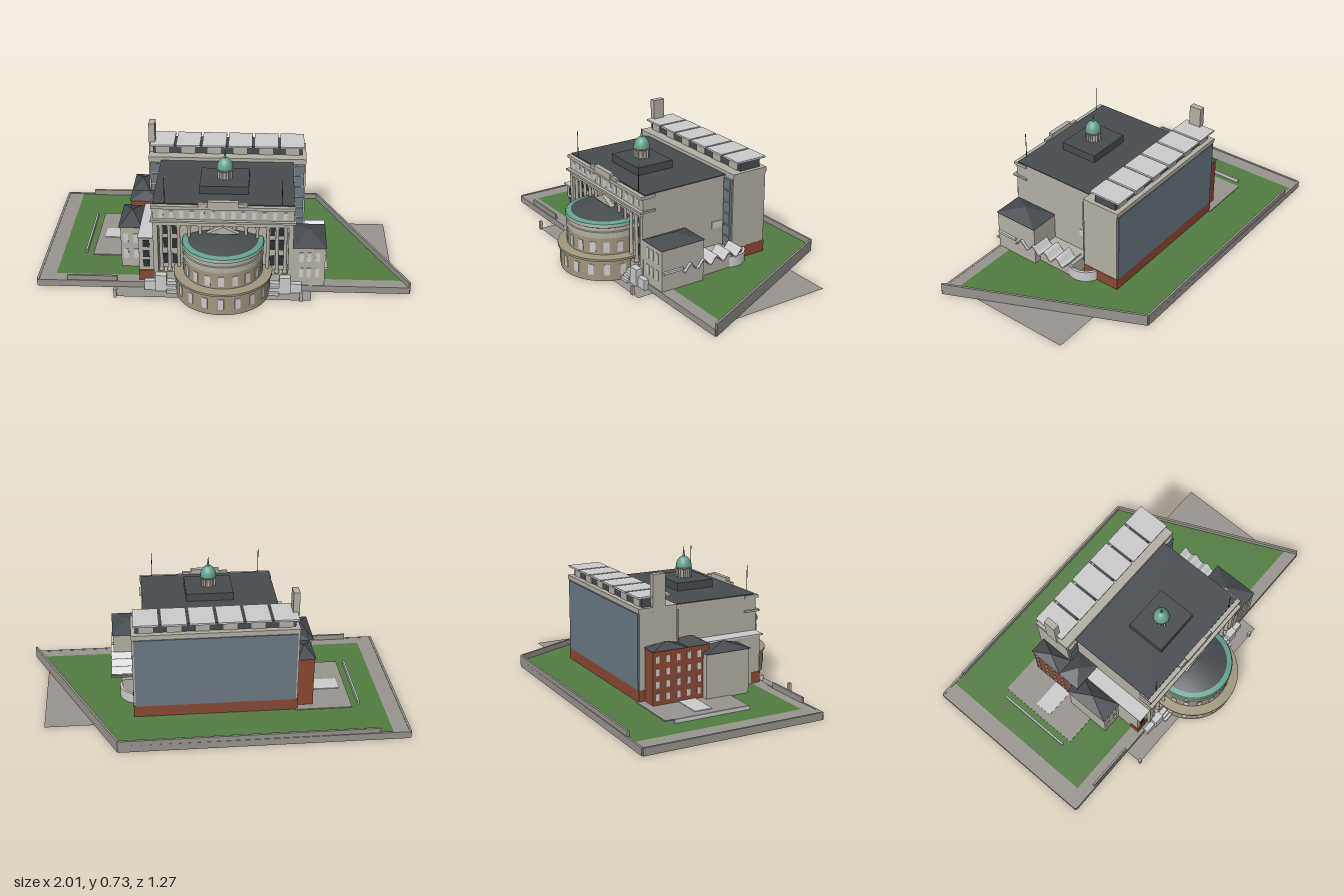
import * as THREE from 'three';

const C = {
  grey: 0xcccccc, stone: 0xb4b0a6, tan: 0xa0967f, roof: 0x484c50, teal: 0x66a08f,
  grass: 0x537d41, brick: 0x8a4a34, glass: 0x6c7883, dark: 0x2c2f33, paving: 0x98948f, pane: 0xc4c4c4,
};
const mats = {};
const mat = (c) => (mats[c] ??= new THREE.MeshStandardMaterial({ color: C[c], side: THREE.DoubleSide }));

export function createModel() {
  const root = new THREE.Group();

  const add = (name, geo, color, parent = root) => {
    const m = new THREE.Mesh(geo, mat(color));
    m.name = name;
    parent.add(m);
    return m;
  };
  const group = (name) => {
    const g = new THREE.Group();
    g.name = name;
    root.add(g);
    return g;
  };
  // Box given by its limits on each axis
  const box = (name, color, x0, x1, y0, y1, z0, z1, parent) => {
    const g = new THREE.BoxGeometry(x1 - x0, y1 - y0, z1 - z0);
    g.translate((x0 + x1) / 2, (y0 + y1) / 2, (z0 + z1) / 2);
    return add(name, g, color, parent);
  };
  // Flat sheet from [x, z] corners
  const sheet = (name, color, pts, y) => {
    const s = new THREE.Shape(pts.map(([x, z]) => new THREE.Vector2(x, -z)));
    return add(name, new THREE.ShapeGeometry(s).rotateX(-Math.PI / 2).translate(0, y, 0), color);
  };
  const rect = (x0, x1, z0, z1) => [[x0, z0], [x1, z0], [x1, z1], [x0, z1]];
  // Straight wall between two [x, z] points
  const wall = (name, color, a, b, y0, y1, t = 0.012) => {
    const dx = b[0] - a[0], dz = b[1] - a[1];
    const g = new THREE.BoxGeometry(Math.hypot(dx, dz), y1 - y0, t);
    g.rotateY(-Math.atan2(dz, dx)).translate((a[0] + b[0]) / 2, (y0 + y1) / 2, (a[1] + b[1]) / 2);
    return add(name, g, color);
  };
  const hipRoof = (name, x0, x1, y0, y1, z0, z1) => {
    const g = new THREE.ConeGeometry(Math.SQRT1_2, y1 - y0, 4).toNonIndexed().rotateY(Math.PI / 4);
    g.scale(x1 - x0, 1, z1 - z0).translate((x0 + x1) / 2, (y0 + y1) / 2, (z0 + z1) / 2);
    g.computeVertexNormals();
    add(name, g, 'roof');
  };
  const lathe = (name, color, pts, x, z, seg = 48, parent = root) =>
    add(name, new THREE.LatheGeometry(pts.map((p) => new THREE.Vector2(...p)), seg).toNonIndexed()
      .translate(x, 0, z), color, parent);

  // Site: lawn, paths, boundary walls and lower paving
  const G = 0.035;
  const BL = [-1, -0.635], BR = [0.53, -0.635], FR = [0.995, 0.37], FL = [-1, 0.37];
  sheet('lawn', 'grass', [BL, BR, FR, FL], G);
  sheet('sidePath', 'paving', rect(-1, -0.91, -0.635, 0.37), G + 0.002);
  sheet('frontPath', 'paving', [[-0.91, 0.305], [0.965, 0.305], FR, [-0.91, 0.37]], G + 0.002);
  sheet('lowerPaving', 'paving', rect(-0.74, 0.92, -0.38, 0.37), 0.002);
  wall('backWall', 'paving', BL, BR, 0, G + 0.005);
  wall('slantedWall', 'paving', BR, FR, 0, 0.067);
  wall('frontWall', 'paving', FL, FR, 0, G + 0.003);
  wall('leftWall', 'paving', FL, BL, 0, G + 0.005);
  wall('backParapet', 'paving', [-0.84, -0.63], BR, G, 0.067);
  wall('frontParapet', 'paving', [-0.84, 0.365], [-0.57, 0.365], G, 0.067);
  box('patio', 'paving', -0.74, -0.43, G, 0.04, -0.38, 0.1);
  box('patioInset', 'grey', -0.7, -0.53, G, 0.044, -0.19, -0.09);
  box('gardenRail', 'grey', -0.785, -0.775, G, 0.055, -0.35, 0.08);

  // Forecourt either side of the rotunda
  sheet('forecourt', 'paving', rect(-0.57, 0.47, 0.37, 0.47), 0.004);
  for (const s of [-1, 1]) {
    const span = (a, b) => (s < 0 ? [-b, -a] : [a, b]);
    box('terraceWall', 'grey', ...span(0.24, 0.42), 0, 0.06, 0.37, 0.4);
    box('stairPier', 'grey', ...span(0.3, 0.36), 0, 0.1, 0.37, 0.41);
    for (let i = 0; i < 3; i++)
      box('frontStep', 'grey', ...span(0.23, 0.3), 0, 0.02 * (i + 1), 0.37, 0.43 - i * 0.015);
    const px = s < 0 ? -0.57 : 0.415;
    box('gatePost', 'stone', px - 0.008, px + 0.008, 0, 0.05, 0.46, 0.476);
  }

  // Main hall
  const hall = group('mainHall');
  box('hallBody', 'stone', -0.37, 0.37, 0, 0.505, -0.15, 0.325, hall);
  box('rearShoulders', 'stone', -0.43, 0.43, 0, 0.5, -0.15, -0.14, hall);
  box('hallRoof', 'roof', -0.37, 0.37, 0.505, 0.511, -0.16, 0.36, hall);
  box('upperFront', 'stone', -0.37, 0.37, 0.385, 0.505, 0.32, 0.372, hall);
  box('lowerCornice', 'stone', -0.38, 0.38, 0.413, 0.424, 0.3, 0.392, hall);
  box('upperCornice', 'stone', -0.376, 0.376, 0.488, 0.505, 0.3, 0.384, hall);
  box('podium', 'stone', -0.37, 0.37, 0, 0.105, 0.32, 0.374, hall);
  box('parapetBlock', 'stone', -0.08, 0.08, 0.5, 0.537, 0.362, 0.388, hall);
  box('parapetWings', 'stone', -0.13, 0.13, 0.5, 0.522, 0.362, 0.38, hall);
  for (let i = 0; i < 13; i++) {
    const x = -0.324 + i * 0.054;
    box('atticWindow', 'pane', x - 0.011, x + 0.011, 0.434, 0.474, 0.37, 0.374, hall);
  }
  for (const s of [-1, 1]) {
    box('endPier', 'stone', s * 0.357 - 0.013, s * 0.357 + 0.013, 0.1, 0.39, 0.32, 0.374, hall);
    for (const x of [0.06, 0.12, 0.18, 0.235, 0.285, 0.328]) {
      const shaft = [[0, 0.105], [0.014, 0.105], [0.014, 0.117], [0.01, 0.12], [0.009, 0.365],
        [0.014, 0.375], [0.014, 0.386], [0, 0.386]];
      lathe('column', 'stone', shaft, s * x, 0.357, 12, hall);
    }
    for (const x of [0.26, 0.307])
      for (const y of [0.13, 0.225, 0.31])
        box('porticoWindow', 'dark', s * x - 0.013, s * x + 0.013, y, y + 0.06, 0.32, 0.328, hall);
    const pole = new THREE.CylinderGeometry(0.002, 0.002, 0.15, 6).translate(s * 0.305, 0.58, 0.355);
    add('flagpole', pole, 'dark', hall);
  }
  const gable = new THREE.Shape([[-0.085, 0.35], [0.085, 0.35], [0, 0.392]].map((p) => new THREE.Vector2(...p)));
  add('pediment', new THREE.ExtrudeGeometry(gable, { depth: 0.03, bevelEnabled: false }).translate(0, 0, 0.36), 'stone', hall);
  box('sideVent', 'grey', 0.37, 0.374, 0.215, 0.255, -0.13, -0.065, hall);

  // Cupola
  const cupola = group('cupola');
  box('cupolaBase', 'roof', -0.13, 0.13, 0.51, 0.555, 0.025, 0.245, cupola);
  lathe('cupolaDrum', 'stone', [[0.03, 0.555], [0.03, 0.605], [0.045, 0.605], [0.045, 0.612], [0, 0.612]], 0, 0.135, 24, cupola);
  for (let i = 0; i < 8; i++) {
    const a = (i + 0.5) * Math.PI / 4;
    add('cupolaColumn', new THREE.CylinderGeometry(0.006, 0.006, 0.05, 8)
      .translate(0.037 * Math.cos(a), 0.58, 0.135 + 0.037 * Math.sin(a)), 'stone', cupola);
  }
  const dome = new THREE.SphereGeometry(0.044, 24, 10, 0, Math.PI * 2, 0, Math.PI / 2).scale(1, 1.4, 1);
  add('cupolaDome', dome.translate(0, 0.611, 0.135), 'teal', cupola);
  add('finial', new THREE.ConeGeometry(0.008, 0.06, 8).translate(0, 0.697, 0.135), 'teal', cupola);

  // Front rotunda in two drums
  const rz = 0.37, rotunda = group('rotunda');
  const facet = (m) => (m.geometry.computeVertexNormals(), m);
  facet(lathe('lowerDrum', 'tan', [[0.25, 0], [0.25, 0.112], [0.262, 0.118], [0.262, 0.13], [0.2, 0.135]], 0, rz, 64, rotunda));
  facet(lathe('upperDrum', 'tan', [[0.21, 0.13], [0.21, 0.25]], 0, rz, 64, rotunda));
  facet(lathe('upperFrieze', 'stone', [[0.213, 0.23], [0.213, 0.262], [0.208, 0.265], [0.208, 0.285], [0.217, 0.29], [0.217, 0.3]], 0, rz, 64, rotunda));
  facet(lathe('copperRim', 'teal', [[0.217, 0.3], [0.213, 0.308], [0.185, 0.314]], 0, rz, 64, rotunda));
  lathe('rotundaRoof', 'roof', [[0.187, 0.313], [0.14, 0.328], [0.075, 0.342], [0, 0.348]], 0, rz, 64, rotunda);
  for (const [r, y, h, n] of [[0.25, 0.035, 0.06, 9], [0.21, 0.148, 0.058, 9]])
    for (let i = 0; i < n; i++) {
      const g = new THREE.BoxGeometry(0.03, h, 0.006).translate(0, y + h / 2, r);
      add('rotundaWindow', g.rotateY((i - (n - 1) / 2) * 0.345).translate(0, 0, rz), 'pane', rotunda);
    }

  // Tall rear block
  const rear = group('rearBlock');
  box('rearBody', 'stone', -0.44, 0.44, 0.1, 0.525, -0.365, -0.15, rear);
  box('brickBase', 'brick', -0.441, 0.441, 0, 0.1, -0.369, -0.15, rear);
  box('rearGlazing', 'glass', -0.43, 0.43, 0.1, 0.5, -0.371, -0.364, rear);
  box('rearParapet', 'stone', -0.442, 0.442, 0.505, 0.53, -0.37, -0.15, rear);
  box('roofPlant', 'roof', -0.42, 0.42, 0.53, 0.575, -0.34, -0.21, rear);
  for (let i = 0; i < 6; i++) {
    const x = -0.435 + i * 0.1462;
    box('roofCanopy', 'grey', x, x + 0.134, 0.578, 0.588, -0.37, -0.185, rear);
    box('canopySupport', 'stone', x + 0.03, x + 0.104, 0.53, 0.578, -0.345, -0.205, rear);
  }
  box('chimney', 'stone', -0.445, -0.41, 0.5, 0.7, -0.29, -0.22, rear);
  for (const s of [-1, 1])
    for (let i = 0; i < 6; i++) {
      const y = 0.11 + i * 0.066;
      box('shoulderGlazing', 'glass', s * 0.404 - 0.027, s * 0.404 + 0.027, y, y + 0.058, -0.15, -0.135, rear);
    }

  // Left brick wing and its links
  const wing = group('brickWing');
  box('wingBody', 'brick', -0.53, -0.43, 0, 0.325, -0.335, -0.01, wing);
  box('wingLink', 'brick', -0.45, -0.36, 0, 0.325, -0.14, -0.01, wing);
  hipRoof('wingRoof', -0.537, -0.435, 0.325, 0.36, -0.34, -0.135);
  hipRoof('linkRoof', -0.537, -0.365, 0.325, 0.36, -0.14, -0.005);
  for (let f = 0; f < 4; f++)
    for (let i = 0; i < 5; i++) {
      const z = -0.31 + i * 0.06, y = 0.065 + f * 0.066;
      box('wingWindow', 'pane', -0.533, -0.529, y, y + 0.036, z - 0.01, z + 0.01, wing);
    }
  box('leftAnnex', 'stone', -0.45, -0.37, 0, 0.3, -0.02, 0.35, wing);
  box('annexRoof', 'grey', -0.452, -0.37, 0.3, 0.308, -0.02, 0.37, wing);
  box('annexBrickBase', 'brick', -0.452, -0.37, 0.04, 0.1, 0.3, 0.355, wing);
  for (const y of [0.12, 0.18, 0.24])
    box('annexWindow', 'dark', -0.428, -0.392, y, y + 0.042, 0.349, 0.353, wing);

  // Corner pavilions
  box('leftPavilion', 'stone', -0.565, -0.45, 0, 0.28, -0.045, 0.21);
  hipRoof('leftPavilionRoof', -0.575, -0.445, 0.28, 0.325, -0.052, 0.217);
  box('rightPavilion', 'stone', 0.37, 0.54, 0, 0.267, 0.112, 0.372);
  hipRoof('rightPavilionRoof', 0.368, 0.546, 0.267, 0.309, 0.108, 0.376);
  for (const y of [0.09, 0.185]) {
    for (const x of [-0.537, -0.482]) box('pavilionWindow', 'pane', x - 0.013, x + 0.013, y, y + 0.055, 0.209, 0.213);
    for (const x of [0.415, 0.455, 0.5]) box('pavilionWindow', 'pane', x - 0.011, x + 0.011, y, y + 0.055, 0.371, 0.375);
  }
  box('sideAwning', 'grey', 0.54, 0.553, 0.135, 0.148, 0.245, 0.365).rotation.x = 0;

  // Wavy side canopy with a low wall beneath
  const wave = new THREE.BoxGeometry(0.115, 0.008, 0.37, 1, 1, 72).translate(0.498, 0.137, 0.055);
  const p = wave.attributes.position;
  for (let i = 0; i < p.count; i++)
    p.setY(i, p.getY(i) + 0.019 * Math.cos((p.getZ(i) + 0.13) * Math.PI * 2 / 0.0822));
  wave.computeVertexNormals();
  add('wavyCanopy', wave, 'grey');
  box('canopyWall', 'stone', 0.37, 0.5, 0, 0.116, -0.12, 0.112);

  // Curved ramp at the right rear
  const curve = new THREE.Shape();
  curve.absarc(0, 0, 0.105, -Math.PI / 2, Math.PI / 2, false);
  curve.absarc(0, 0, 0.09, Math.PI / 2, -Math.PI / 2, true);
  add('curvedRamp', new THREE.ExtrudeGeometry(curve, { depth: 0.06, bevelEnabled: false, curveSegments: 20 })
    .rotateX(-Math.PI / 2).translate(0.405, G, -0.135), 'grey');

  return root;
}
